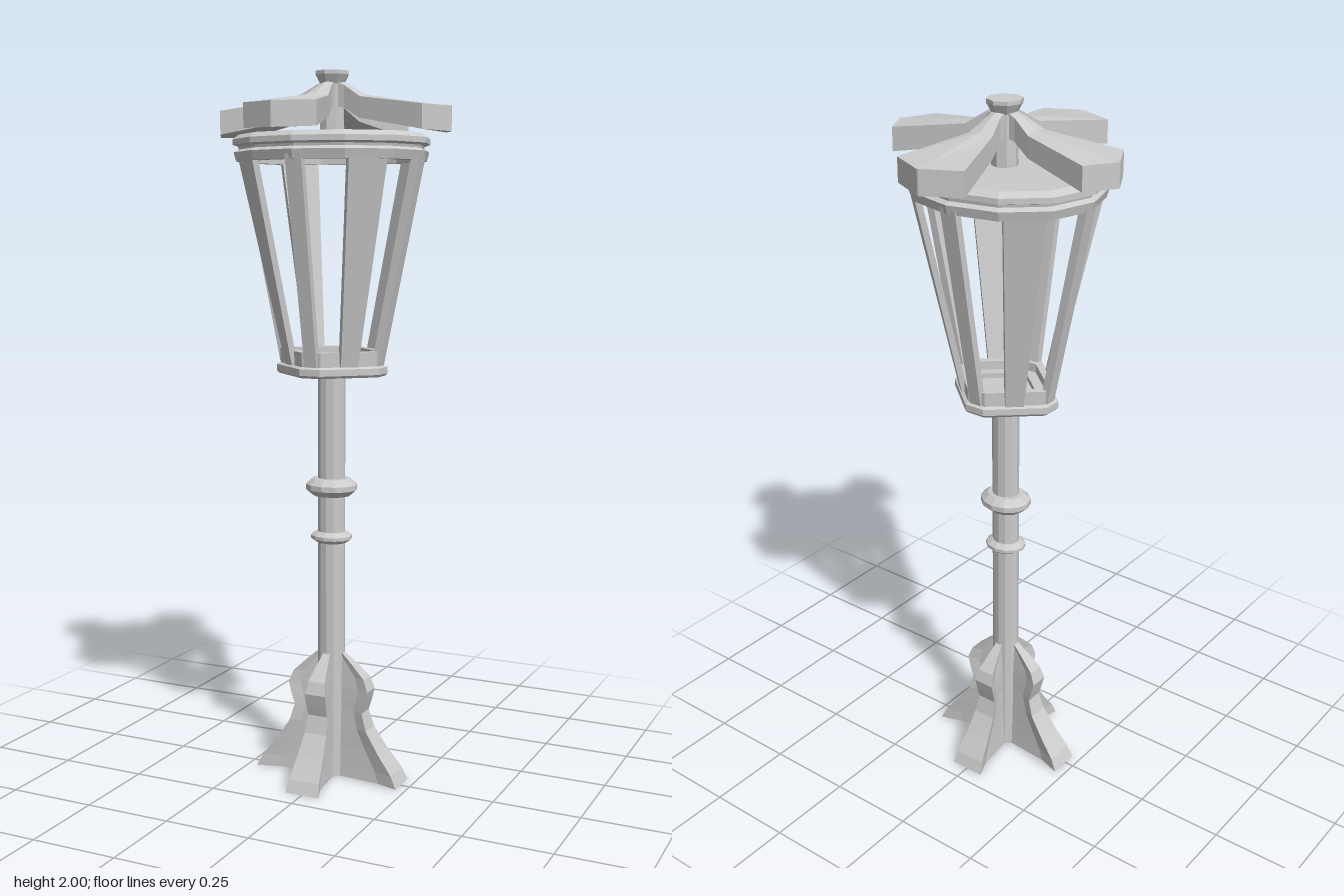
import * as THREE from 'three';

const material = new THREE.MeshStandardMaterial({ color: 0xcccccc, flatShading: true });

// Skin a row of equal-sized point rings and cap both ends.
function loft(rings) {
  const pos = [];
  const tri = (a, b, c) => pos.push(...a, ...b, ...c);
  const n = rings[0].length;
  for (let k = 0; k < rings.length - 1; k++) {
    const a = rings[k], b = rings[k + 1];
    for (let i = 0; i < n; i++) {
      const j = (i + 1) % n;
      tri(a[i], a[j], b[j]);
      tri(a[i], b[j], b[i]);
    }
  }
  const first = rings[0], last = rings[rings.length - 1];
  for (let i = 1; i < n - 1; i++) {
    tri(first[0], first[i + 1], first[i]);
    tri(last[0], last[i], last[i + 1]);
  }
  const g = new THREE.BufferGeometry();
  g.setAttribute('position', new THREE.Float32BufferAttribute(pos, 3));
  g.computeVertexNormals();
  return g;
}

function add(parent, name, geometry, turn = 0) {
  const mesh = new THREE.Mesh(geometry, material);
  mesh.name = name;
  mesh.rotation.y = turn;
  parent.add(mesh);
  return mesh;
}

const lathe = (points, sides) =>
  new THREE.LatheGeometry(points.map(([r, y]) => new THREE.Vector2(r, y)), sides);

// Base leg: thin at the pole, flaring to a wide outer edge. Levels are [y, reach, half width].
function legGeometry() {
  const levels = [
    [0, 0.222, 0.052], [0.035, 0.205, 0.047], [0.09, 0.162, 0.04], [0.15, 0.122, 0.034],
    [0.2, 0.107, 0.029], [0.23, 0.116, 0.031], [0.265, 0.125, 0.031], [0.3, 0.112, 0.026],
    [0.335, 0.075, 0.018], [0.37, 0.035, 0.01],
  ];
  return loft(levels.map(([y, r, w]) => {
    const side = [[0, w * 0.3], [r * 0.72, w * 0.58], [r, w]];
    return [
      ...side.map(([x, z]) => [x, y, z]),
      ...side.reverse().map(([x, z]) => [x, y, -z]),
    ];
  }));
}

// Leaning lantern bar; ends are [y, outer radius, half width].
function barGeometry(ends, depth) {
  return loft(ends.map(([y, r, w]) => [
    [r - depth, y, w], [r, y, w], [r, y, -w], [r - depth, y, -w],
  ]));
}

// Octagon with wide diagonal sides and narrow cardinal ones.
function chamferedRing(y, r) {
  const ring = [];
  for (let k = 0; k < 4; k++) {
    for (const offset of [-0.19, 0.19]) {
      const a = k * Math.PI / 2 + offset;
      ring.push([r * Math.cos(a), y, -r * Math.sin(a)]);
    }
  }
  return ring;
}

// Roof blade reaching along +x, pointed at the tip with a shallow top ridge.
function bladeGeometry(length, halfWidth) {
  const sections = [
    // reach, half width, bottom, edge top, ridge
    [0.02, 0.018, 1.905, 1.97, 1.975],
    [0.045, 0.02, 1.9, 1.96, 1.967],
    [0.1, 0.037, 1.87, 1.927, 1.934],
    [length - 0.048, halfWidth, 1.833, 1.898, 1.902],
    [length, 0.002, 1.83, 1.896, 1.898],
  ];
  return loft(sections.map(([x, w, b, t, ridge]) => [
    [x, b, w], [x, b, -w], [x, t, -w], [x, ridge, 0], [x, t, w],
  ]));
}

export function createModel() {
  const model = new THREE.Group();
  model.name = 'streetLamp';

  // Base, pole and lantern are slightly shallower than wide
  const body = new THREE.Group();
  body.name = 'body';
  body.scale.z = 0.88;
  body.position.z = -0.008;
  model.add(body);

  // Pole with two collars
  add(body, 'pole', lathe([[0, 0], [0.04, 0], [0.04, 1.16], [0, 1.16]], 12));
  for (const [y, r, h] of [[0.85, 0.075, 0.025], [0.705, 0.06, 0.016]]) {
    add(body, 'poleCollar', lathe([
      [0.038, y - h], [r * 0.72, y - h], [r, y - h * 0.3], [r, y + h * 0.3],
      [r * 0.72, y + h], [0.038, y + h],
    ], 12));
  }

  // Four flared legs
  const leg = legGeometry();
  for (let k = 0; k < 4; k++) add(body, 'baseLeg', leg, k * Math.PI / 2);

  // Lantern tray with a hollow top
  const tray = [
    [1.17, 0.155], [1.177, 0.162], [1.195, 0.162], [1.2, 0.15], [1.24, 0.152],
    [1.24, 0.125], [1.215, 0.125], [1.215, 0.09], [1.2, 0.09],
  ];
  add(body, 'lanternTray', loft(tray.map(([y, r]) => chamferedRing(y, r))));

  // Slim bars at the corners, broad panels on the diagonals
  const bar = barGeometry([[1.2, 0.153, 0.018], [1.77, 0.27, 0.024]], 0.024);
  const panel = barGeometry([[1.2, 0.132, 0.026], [1.77, 0.26, 0.057]], 0.018);
  for (let k = 0; k < 4; k++) {
    add(body, 'lanternBar', bar, k * Math.PI / 2);
    add(body, 'lanternPanel', panel, (k + 0.5) * Math.PI / 2);
  }

  // Upper frame ring and lid
  add(body, 'lanternFrame', lathe([
    [0.235, 1.757], [0.27, 1.757], [0.277, 1.782], [0.262, 1.79], [0.235, 1.79], [0.235, 1.757],
  ], 12));
  add(body, 'lanternLid', lathe([
    [0, 1.788], [0.262, 1.788], [0.264, 1.797], [0.28, 1.802], [0.28, 1.817], [0.262, 1.83], [0, 1.83],
  ], 12));

  // Roof hub with a flared cap
  const roof = new THREE.Group();
  roof.name = 'roof';
  roof.position.z = -0.011;
  model.add(roof);
  add(roof, 'roofHub', lathe([
    [0, 1.825], [0.036, 1.825], [0.034, 1.965], [0.048, 1.99], [0.048, 2], [0, 2],
  ], 8));

  // Four roof blades: right, back, left, front
  [[0.349, 0.09], [0.342, 0.105], [0.349, 0.09], [0.361, 0.105]].forEach(([length, width], k) => {
    add(roof, 'roofBlade', bladeGeometry(length, width), k * Math.PI / 2);
  });

  return model;
}
